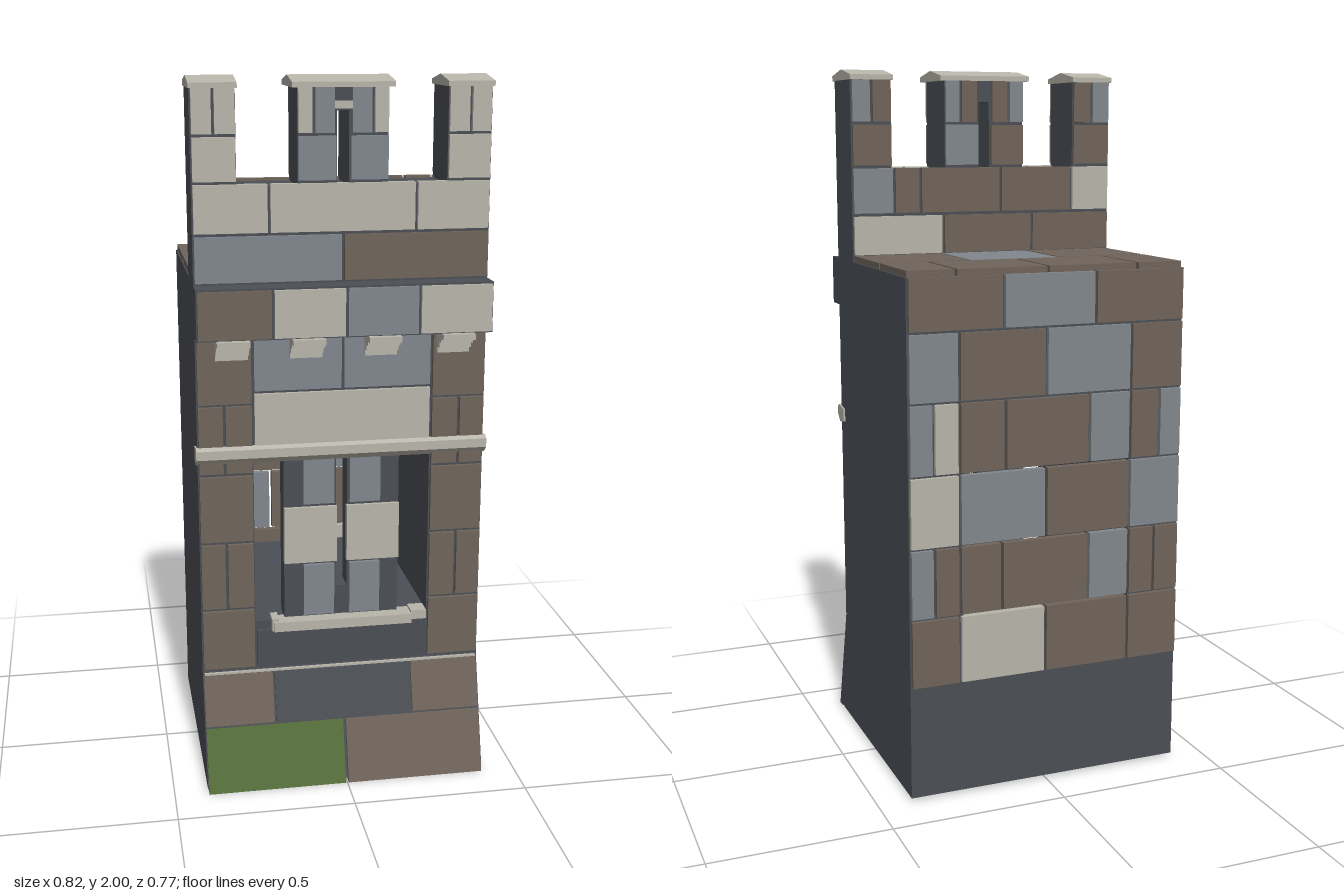
import * as THREE from 'three';

const mat = (name, color) => {
  const m = new THREE.MeshStandardMaterial({ color });
  m.name = name;
  return m;
};

export function createModel() {
  const model = new THREE.Group();
  model.name = 'tower';
  const M = {
    d: mat('dark mortar', 0x4b4f55),
    l: mat('pale stone', 0xb8b5aa),
    b: mat('blue grey stone', 0x80878c),
    n: mat('brown stone', 0x6f645a),
    g: mat('mossy stone', 0x566e3a),
  };

  const add = (parent, name, geo, m) => {
    const mesh = new THREE.Mesh(geo, M[m]);
    mesh.name = name;
    parent.add(mesh);
    return mesh;
  };
  const group = (name) => {
    const g = new THREE.Group();
    g.name = name;
    model.add(g);
    return g;
  };
  // Box given by its limits on each axis
  const box = (parent, name, m, x0, x1, y0, y1, z0, z1) =>
    add(parent, name, new THREE.BoxGeometry(x1 - x0, y1 - y0, z1 - z0)
      .translate((x0 + x1) / 2, (y0 + y1) / 2, (z0 + z1) / 2), m);
  // Side profile of [z, y] points swept from x0 to x1
  const sweep = (parent, name, m, pts, x0, x1) => {
    const shape = new THREE.Shape(pts.map(([z, y]) => new THREE.Vector2(z, y)));
    const geo = new THREE.ExtrudeGeometry(shape, { depth: x1 - x0, bevelEnabled: false });
    return add(parent, name, geo.rotateY(-Math.PI / 2).translate(x1, 0, 0), m);
  };
  // Courses of stones: [y0, y1, x0, colour, x1, colour, x2, ...]
  const courses = (parent, z0, z1, rows) => {
    const gap = 0.004;
    for (const [y0, y1, ...c] of rows)
      for (let i = 0; i + 2 < c.length; i += 2)
        if (c[i + 1]) box(parent, 'stone', M[c[i + 1]] && c[i + 1], c[i] + gap, c[i + 2] - gap, y0, y1, z0, z1);
  };

  // Core: solid flanks, with a middle bay open at window height
  const W = 0.405, BAY = 0.25, F = 0.278, B = -0.37;
  const core = group('core');
  const lower = [[B, 0.01], [0.372, 0.01], [F, 0.335]];
  const upper = [[F, 1.315], [0.343, 1.315], [0.343, 1.455], [F, 1.455],
    [F, 1.715], [0.118, 1.715], [0.118, 1.455], [B, 1.455]];
  sweep(core, 'leftFlank', 'd', [...lower, ...upper], BAY, W);
  sweep(core, 'rightFlank', 'd', [...lower, ...upper], -W, -BAY);
  sweep(core, 'bayBase', 'd', [...lower, [F, 0.48], [B, 0.48]], -BAY, BAY);
  sweep(core, 'bayTop', 'd', [[B, 0.98], [F, 0.98], ...upper], -BAY, BAY);

  // Sloping plinth stones
  const plinth = group('plinth');
  const slope = (y) => 0.384 - 0.3 * y;
  const slopeStone = (m, x0, x1, y0, y1) => sweep(plinth, 'plinthStone', m,
    [[slope(y0) - 0.02, y0], [slope(y0), y0], [slope(y1), y1], [slope(y1) - 0.02, y1]], x0, x1);
  slopeStone('g', -0.402, -0.004, 0, 0.176);
  slopeStone('n', 0.004, 0.402, 0, 0.176);
  slopeStone('n', -0.402, -0.204, 0.184, 0.322);
  slopeStone('d', -0.198, 0.198, 0.184, 0.322);
  slopeStone('n', 0.204, 0.402, 0.184, 0.322);
  box(plinth, 'plinthLedge', 'l', -0.4, 0.4, 0.325, 0.331, 0.26, 0.287);

  // Front wall: corner stones, lintel and upper courses
  const front = group('frontWall');
  const z0 = 0.265, z1 = 0.29;
  for (const s of [-1, 1]) {
    const quoins = [[0.345, 0.52, 1], [0.53, 0.72, 2], [0.73, 0.92, 1], [0.93, 1.12, 2], [1.128, 1.31, 1]];
    for (const [y0, y1, n] of quoins) {
      const [a, b] = s < 0 ? [-W, -BAY] : [BAY, W];
      const mid = s * 0.33;
      courses(front, z0, z1, [n === 1 ? [y0, y1, a, 'n', b] : [y0, y1, a, 'n', mid, 'n', b]]);
    }
  }
  courses(front, z0, z1, [
    [0.345, 0.455, -BAY, 'd', BAY],
    [1.005, 1.153, -BAY, 'l', BAY],
    [1.162, 1.31, -BAY, 'b', 0, 'b', BAY],
    [1.462, 1.585, -W, 'b', 0, 'n', W],
    [1.594, 1.722, -W, 'l', -0.2, 'l', 0.2, 'l', W],
  ]);
  courses(front, 0.335, 0.353, [[1.32, 1.45, -W, 'n', -0.2, 'l', 0, 'b', 0.2, 'l', W]]);

  // Window screen with a central slit and open sides
  const win = group('window');
  for (const s of [-1, 1]) {
    const side = (name, m, a, b, y0, y1, za, zb) =>
      box(win, name, m, Math.min(s * a, s * b), Math.max(s * a, s * b), y0, y1, za, zb);
    side('screen', 'd', 0.016, 0.165, 0.48, 0.98, 0.2, 0.268);
    side('screenStone', 'b', 0.022, 0.11, 0.49, 0.642, 0.26, 0.28);
    side('screenStone', 'l', 0.014, 0.165, 0.65, 0.815, 0.26, 0.28);
    side('screenStone', 'b', 0.022, 0.11, 0.825, 0.975, 0.26, 0.28);
  }
  box(win, 'slitBase', 'd', -0.016, 0.016, 0.48, 0.57, 0.2, 0.266);
  box(win, 'sill', 'l', -0.2, 0.2, 0.455, 0.483, 0.25, 0.308);
  box(win, 'sillEnd', 'l', 0.2, 0.245, 0.463, 0.49, 0.25, 0.3);
  box(win, 'sillEnd', 'l', -0.205, -0.185, 0.455, 0.492, 0.25, 0.3);

  // String course with a chamfered underside
  sweep(model, 'stringCourse', 'l',
    [[0.24, 0.962], [0.28, 0.956], [0.302, 0.975], [0.302, 1.0], [0.29, 1.008], [0.24, 1.0]], -0.41, 0.41);

  // Stepped corbels below the cornice
  const corbels = group('corbels');
  const steps = [[0.27, 1.253], [0.3, 1.253], [0.3, 1.27], [0.318, 1.27], [0.318, 1.287],
    [0.338, 1.287], [0.338, 1.3], [0.364, 1.3], [0.364, 1.316], [0.27, 1.316]];
  for (const x of [-0.308, -0.104, 0.104, 0.308]) sweep(corbels, 'corbel', 'l', steps, x - 0.045, x + 0.045);

  // Back wall stones
  const back = group('backWall');
  courses(back, -0.383, -0.362, [
    [0.335, 0.523, -W, 'n', -0.245, 'n', 0.01, 'l', 0.262, 'n', W],
    [0.531, 0.72, -W, 'n', -0.325, 'n', -0.245, 'b', -0.12, 'n', 0.14, 'n', 0.262, 'n', 0.335, 'b', W],
    [0.728, 0.92, -W, 'b', -0.245, 'n', 0.01, 'b', 0.262, 'l', W],
    [0.928, 1.117, -W, 'b', -0.335, 'n', -0.245, 'b', -0.12, 'n', 0.13, 'n', 0.262, 'l', 0.335, 'b', W],
    [1.125, 1.306, -W, 'n', -0.245, 'b', 0.01, 'n', 0.262, 'b', W],
    [1.314, 1.455, -W, 'n', -0.135, 'b', 0.135, 'n', W],
  ]);

  // Roof paving
  const roof = group('roofPaving');
  const paving = (a, b, c) => {
    for (let i = 0; i + 2 < c.length; i += 2)
      box(roof, 'slab', c[i + 1], c[i] + 0.004, c[i + 2] - 0.004, 1.445, 1.473, a, b);
  };
  paving(-0.366, -0.136, [-W, 'n', -0.266, 'n', 0, 'n', 0.264, 'n', W]);
  paving(-0.124, 0.118, [-W, 'n', -0.137, 'b', 0.137, 'n', W]);

  // Merlons: dark cores, the middle one pierced by a slit
  const merlons = group('merlons');
  const cores = [[-W, -0.285, 1.71], [0.285, W, 1.71], [-0.122, -0.016, 1.71], [0.016, 0.122, 1.71], [-0.016, 0.016, 1.91]];
  for (const [a, b, y] of cores) box(merlons, 'merlonCore', 'd', a, b, y, 1.975, 0.118, F);
  courses(merlons, z0, z1, [
    [1.73, 1.845, -W, 'l', -0.283, 0, -0.125, 'b', -0.016, 0, 0.016, 'b', 0.125, 0, 0.283, 'l', W],
    [1.853, 1.97, -W, 'l', -0.345, 'l', -0.283, 0, -0.125, 'l', -0.08, 'b', -0.02, 0, 0.02, 'b', 0.08, 'l', 0.125, 0, 0.283, 'l', 0.345, 'l', W],
  ]);
  box(merlons, 'slitLintel', 'l', -0.028, 0.028, 1.915, 1.935, 0.26, 0.286);

  // Rear faces of parapet and merlons
  courses(merlons, 0.108, 0.13, [
    [1.475, 1.585, -W, 'n', -0.15, 'n', 0.13, 'l', W],
    [1.594, 1.722, -W, 'l', -0.28, 'n', -0.05, 'n', 0.2, 'n', 0.28, 'b', W],
    [1.73, 1.845, -W, 'n', -0.283, 0, -0.125, 'n', -0.016, 0, 0.016, 'b', 0.125, 0, 0.283, 'n', W],
    [1.853, 1.97, -W, 'b', -0.345, 'n', -0.283, 0, -0.125, 'b', -0.075, 'n', -0.02, 0, 0.02, 'n', 0.075, 'b', 0.125, 0, 0.283, 'n', 0.345, 'b', W],
  ]);

  // Ridged caps
  const cap = [[0.104, 1.97], [0.292, 1.97], [0.292, 1.984], [0.198, 2.0], [0.104, 1.984]];
  for (const [a, b] of [[-0.408, -0.281], [-0.138, 0.138], [0.281, 0.408]]) sweep(merlons, 'merlonCap', 'l', cap, a, b);

  return model;
}
